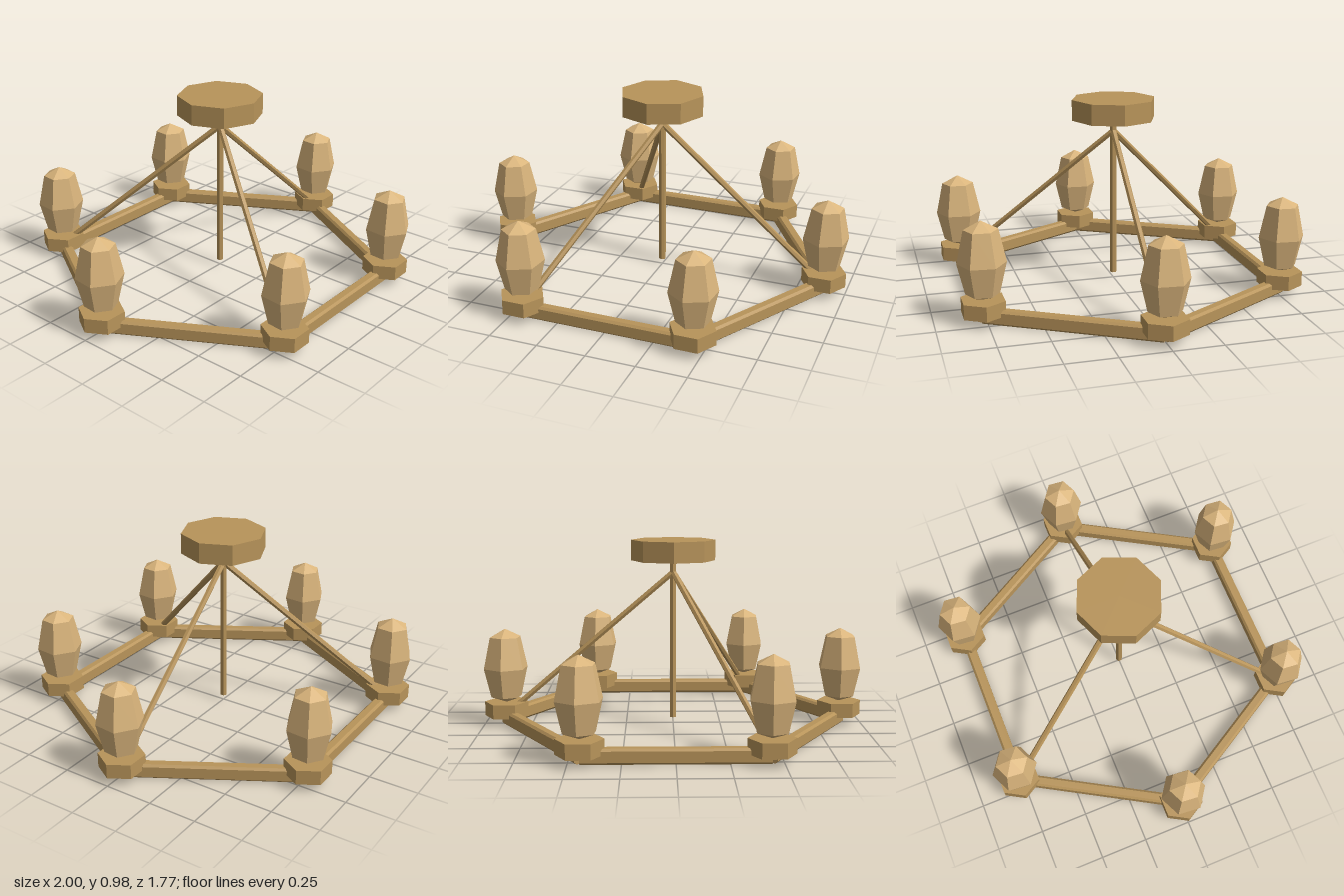
import * as THREE from 'three';

const R = 0.885; // ring radius

export function createModel() {
  const metal = new THREE.MeshStandardMaterial({ color: 0xb8945a });
  metal.name = 'brass';
  const glass = new THREE.MeshStandardMaterial({ color: 0xdab57c });
  glass.name = 'bulb glass';

  const model = new THREE.Group();
  model.name = 'chandelier';

  // Faceted mesh: every face gets its own normal
  const add = (name, geometry, material, parent = model) => {
    const flat = geometry.index ? geometry.toNonIndexed() : geometry;
    flat.computeVertexNormals();
    const mesh = new THREE.Mesh(flat, material);
    mesh.name = name;
    parent.add(mesh);
    return mesh;
  };

  // Thin six-sided rod between two points
  const rod = (name, a, b, radius) => {
    const dir = b.clone().sub(a);
    const mesh = add(name, new THREE.CylinderGeometry(radius, radius, dir.length(), 6), metal);
    mesh.position.copy(a).add(b).multiplyScalar(0.5);
    mesh.quaternion.setFromUnitVectors(new THREE.Vector3(0, 1, 0), dir.normalize());
  };

  // Ceiling plate and central stem
  add('ceilingPlate', new THREE.CylinderGeometry(0.22, 0.22, 0.107, 8), metal).position.y = 0.931;
  rod('stem', new THREE.Vector3(0, 0.04, 0), new THREE.Vector3(0, 0.88, 0), 0.018);

  // Chamfered beam section
  const w = 0.028, h = 0.038, c = 0.011;
  const section = new THREE.Shape([
    [w - c, -h], [w, -h + c], [w, h - c], [w - c, h],
    [-w + c, h], [-w, h - c], [-w, -h + c], [-w + c, -h],
  ].map(([x, y]) => new THREE.Vector2(x, y)));

  // Bulb profile from base to tip
  const bulbProfile = [[0, 0.125], [0.083, 0.157], [0.119, 0.31], [0.083, 0.475], [0, 0.518]]
    .map(([x, y]) => new THREE.Vector2(x, y));

  for (let i = 0; i < 6; i++) {
    const angle = (i * Math.PI) / 3;
    const corner = new THREE.Vector3(R * Math.cos(angle), 0, R * Math.sin(angle));

    // Ring beam, butt-ended at the corners
    const beamGeometry = new THREE.ExtrudeGeometry(section, { depth: R, bevelEnabled: false });
    beamGeometry.translate(0, 0, -R / 2);
    const beam = add('ringBeam', beamGeometry, metal);
    const mid = angle + Math.PI / 6;
    const apothem = R * Math.cos(Math.PI / 6);
    beam.position.set(apothem * Math.cos(mid), 0.046, apothem * Math.sin(mid));
    beam.rotation.y = -mid;

    // Lamp: hexagonal cup with a faceted bulb
    const lamp = new THREE.Group();
    lamp.name = 'lamp';
    lamp.position.copy(corner);
    const cup = add('cup', new THREE.CylinderGeometry(0.115, 0.115, 0.075, 6), metal, lamp);
    cup.position.y = 0.09;
    cup.rotation.y = Math.PI / 6;
    add('bulb', new THREE.LatheGeometry(bulbProfile, 6), glass, lamp).rotation.y = -0.09;
    model.add(lamp);

    // Support rod to every other corner
    if (i % 2 === 0) {
      rod('supportRod', new THREE.Vector3(0, 0.815, 0), corner.clone().setY(0.06), 0.016);
    }
  }
  return model;
}
